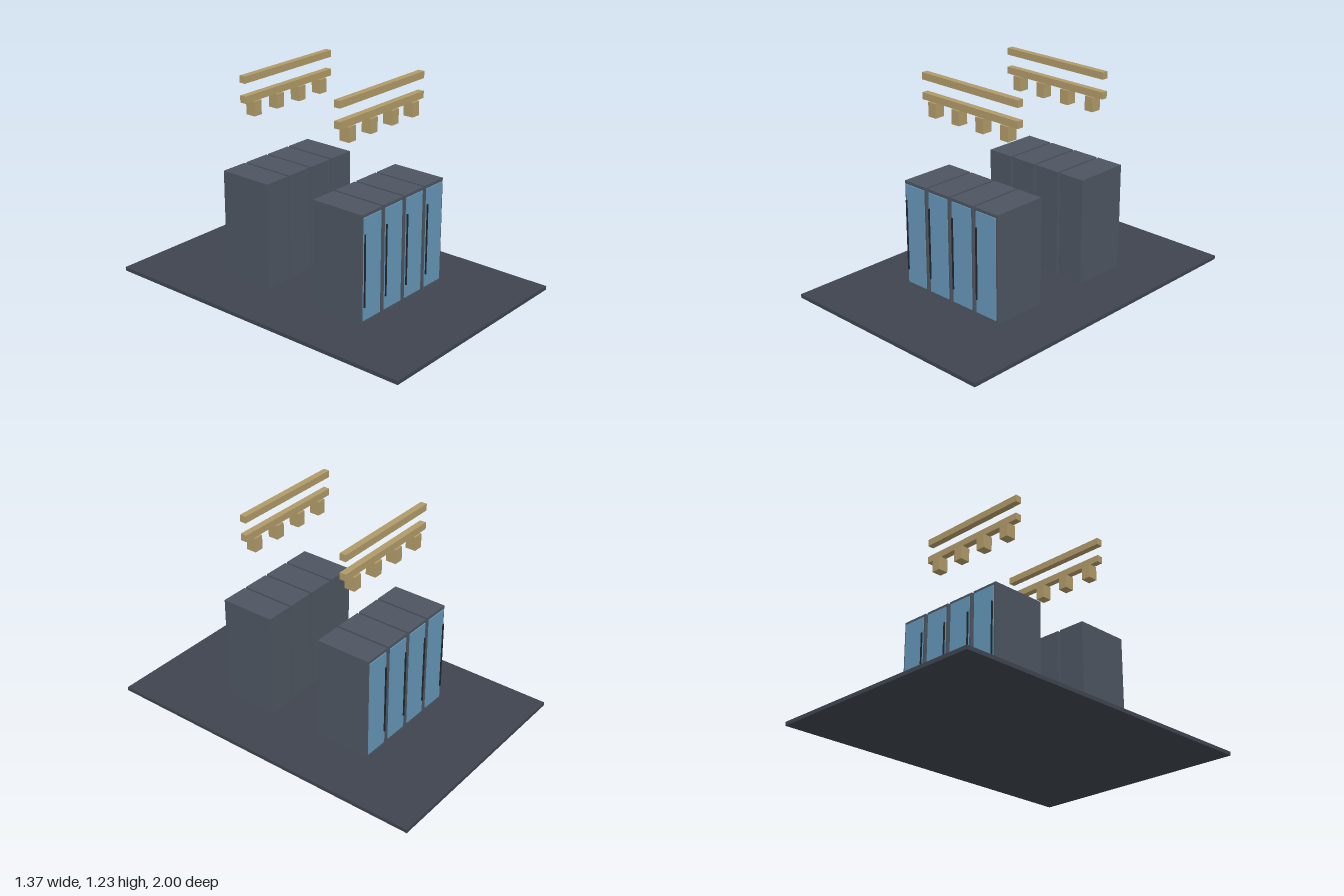
import * as THREE from 'three';

const material = (color) => new THREE.MeshStandardMaterial({ color });

export function createModel() {
  const model = new THREE.Group();
  model.name = 'serverRoom';
  const slate = material(0x3f444e);
  const cabinet = material(0x4d5560);
  const glass = material(0x6596b8);
  const dark = material(0x20262c);
  const brass = material(0xb09a68);

  // Box given by centre x, bottom and top y, centre z
  function box(parent, name, mat, w, d, y0, y1, x, z) {
    const mesh = new THREE.Mesh(new THREE.BoxGeometry(w, y1 - y0, d), mat);
    mesh.name = name;
    mesh.position.set(x, (y0 + y1) / 2, z);
    parent.add(mesh);
  }

  box(model, 'floor', slate, 1.372, 2, 0, 0.022, 0, 0);

  // Two rows, their doors facing away from the aisle
  for (const side of [1, -1]) {
    const row = new THREE.Group();
    row.name = side > 0 ? 'frontRow' : 'backRow';
    model.add(row);
    const z = side * 0.332;

    for (let i = 0; i < 4; i++) {
      const x = (i - 1.5) * 0.18;
      const rack = new THREE.Group();
      rack.name = 'rack';
      row.add(rack);
      box(rack, 'cabinet', cabinet, 0.166, 0.332, 0.022, 0.65, x, z);
      box(rack, 'door', glass, 0.142, 0.012, 0.042, 0.632, x, side * 0.498);
      box(rack, 'handle', dark, 0.007, 0.012, 0.12, 0.54, x - 0.066, side * 0.505);
      // Tap-off box hanging below the lower rail
      box(row, 'tapOffBox', brass, 0.056, 0.062, 0.997, 1.08, x, z);
    }

    // Overhead rails
    box(row, 'lowerRail', brass, 0.71, 0.038, 1.08, 1.12, 0, z);
    box(row, 'upperRail', brass, 0.71, 0.038, 1.192, 1.232, 0, z);
  }
  return model;
}
